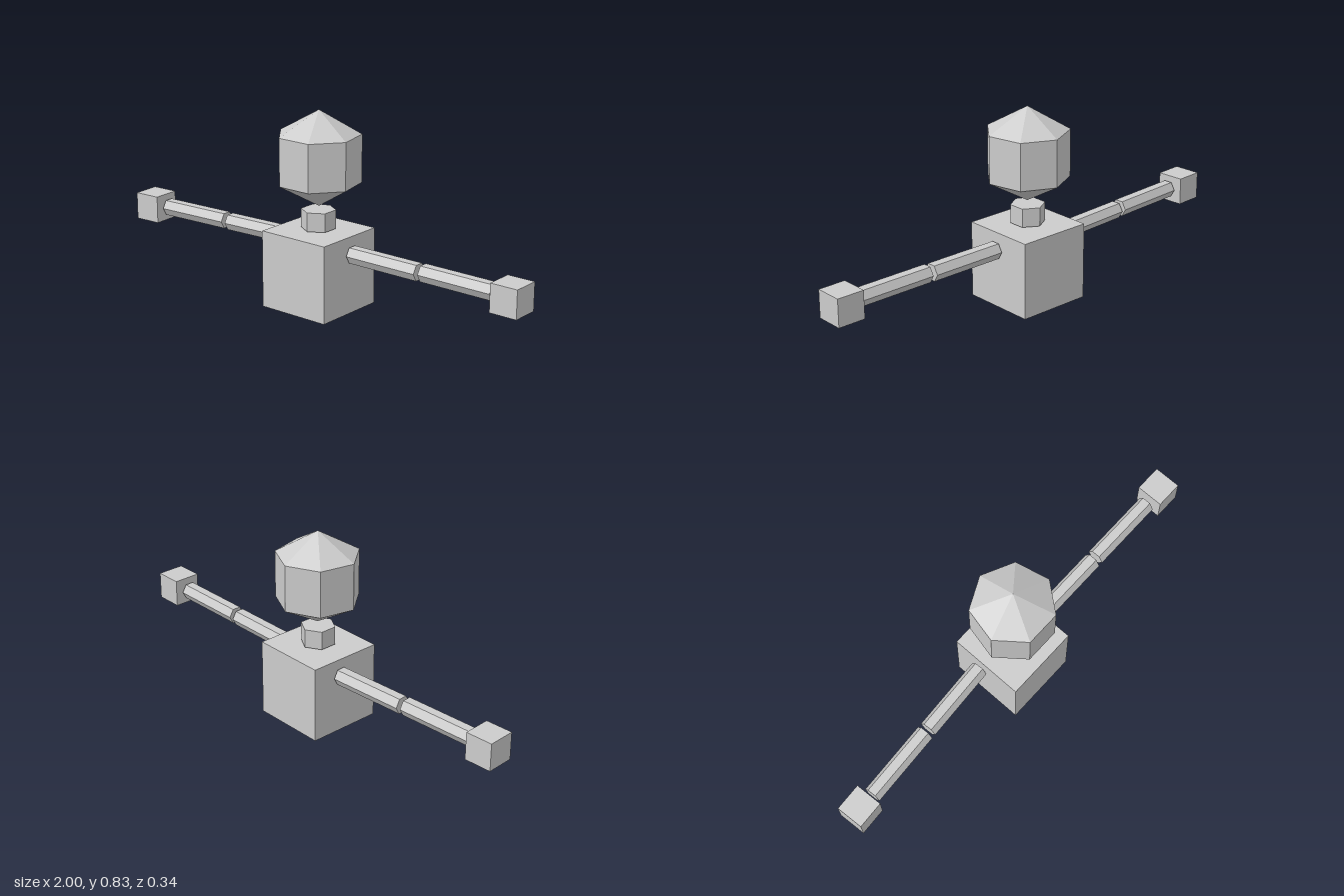
import * as THREE from 'three';

export function createModel() {
  const model = new THREE.Group();
  model.name = 'figure';
  const grey = new THREE.MeshStandardMaterial({ color: 0xcccccc, flatShading: true });
  grey.name = 'plain grey';

  const add = (parent, name, geometry, x, y, z) => {
    const mesh = new THREE.Mesh(geometry, grey);
    mesh.name = name;
    mesh.position.set(x, y, z);
    parent.add(mesh);
    return mesh;
  };

  // Torso, neck and head share one axis
  const cx = -0.002, cz = 0.006;
  add(model, 'torso', new THREE.BoxGeometry(0.328, 0.329, 0.328), cx, 0.1645, cz);
  add(model, 'neck', new THREE.CylinderGeometry(0.073, 0.073, 0.08, 6), cx, 0.376, cz);
  // Seven-sided head with a corner at the back
  const head = new THREE.SphereGeometry(0.202, 7, 3).rotateY(-Math.PI / 2);
  add(model, 'head', head, 0, 0.632, cz);

  // Hexagonal arm segments lying along x, with a cube hand
  const segment = new THREE.CylinderGeometry(0.038, 0.038, 0.335, 6).rotateZ(Math.PI / 2);
  const hand = new THREE.BoxGeometry(0.12, 0.119, 0.12);
  const addArm = (side, name, z, turn, handX) => {
    const arm = new THREE.Group();
    arm.name = name;
    arm.position.set(0, 0.258, z);
    arm.rotation.y = turn;
    add(arm, 'upperArm', segment, side * 0.342, 0, 0);
    add(arm, 'forearm', segment, side * 0.696, 0.002, 0);
    add(arm, 'hand', hand, side * handX, -0.002, 0);
    model.add(arm);
  };
  addArm(1, 'leftArm', 0.006, 0, 0.94);
  addArm(-1, 'rightArm', -0.036, 0.06, 0.938); // swung slightly forward

  return model;
}
